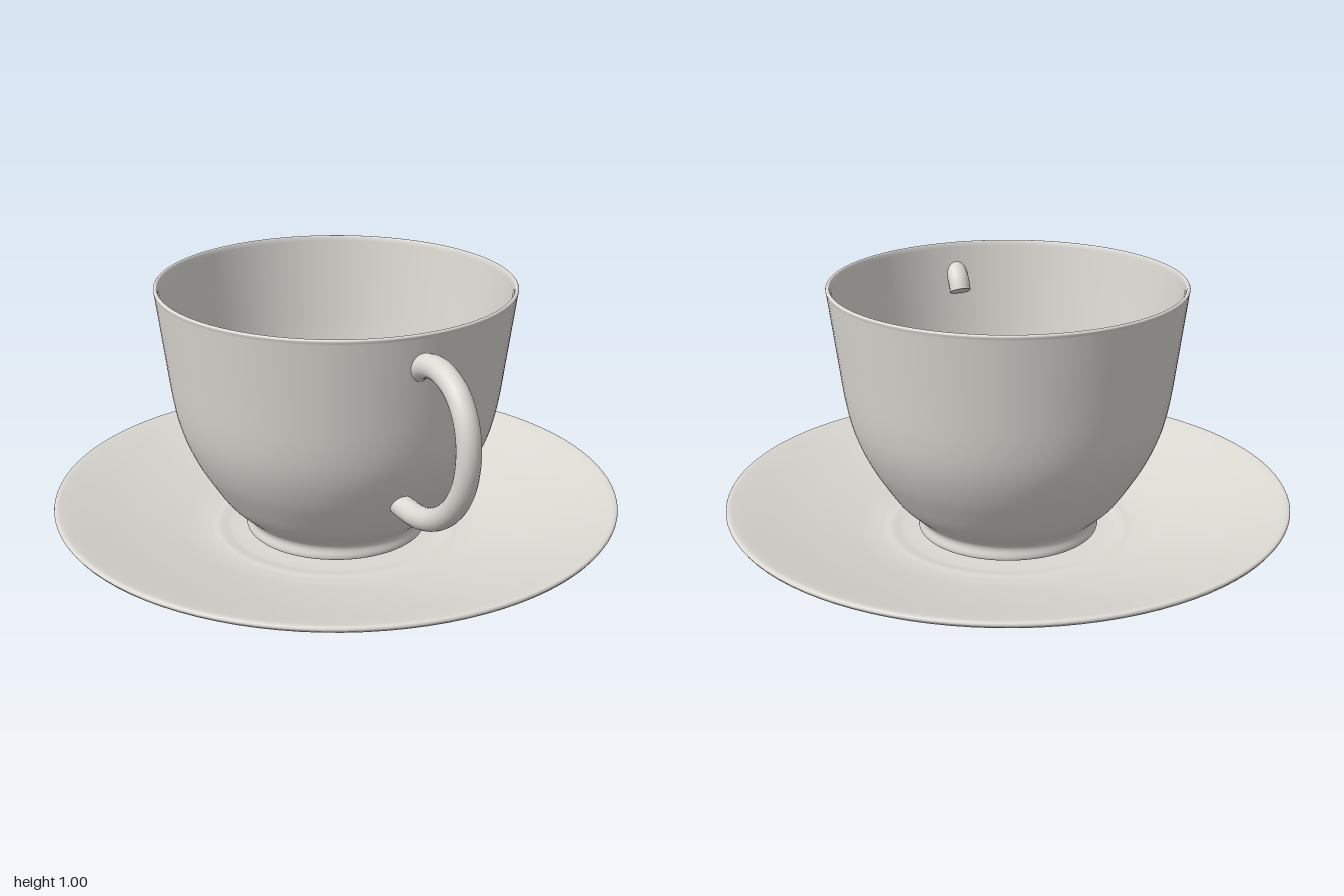
import * as THREE from 'three';

const porcelain = new THREE.MeshStandardMaterial({ color: 0xdcd9d3 });
porcelain.name = 'porcelain';

// Smooth run of profile points (radius, height)
function smooth(points, steps) {
  return new THREE.SplineCurve(points.map(([r, y]) => new THREE.Vector2(r, y))).getPoints(steps);
}

// Turns smooth runs, listed from the underside outward and back in over the top
function turned(name, runs) {
  const profile = runs.flatMap(run => smooth(run, run.length * 5));
  const clean = profile.filter((p, i) => i === 0 || p.distanceTo(profile[i - 1]) > 1e-5);
  clean.forEach(p => { p.x = Math.max(p.x, 0); });
  const mesh = new THREE.Mesh(new THREE.LatheGeometry(clean, 96), porcelain);
  mesh.name = name;
  return mesh;
}

// Bent rod standing in a radial plane, closed at both ends
function makeHandle() {
  const group = new THREE.Group();
  group.name = 'handle';
  const radius = 0.039;
  const path = new THREE.CatmullRomCurve3([
    [0.475, 0.368], [0.53, 0.368], [0.61, 0.376], [0.71, 0.412], [0.806, 0.482],
    [0.873, 0.58], [0.897, 0.7], [0.876, 0.8], [0.815, 0.875], [0.72, 0.911],
    [0.63, 0.9], [0.572, 0.865], [0.55, 0.825],
  ].map(([r, y]) => new THREE.Vector3(r, y, 0)));
  const rod = new THREE.Mesh(new THREE.TubeGeometry(path, 72, radius, 20, false), porcelain);
  rod.name = 'handleRod';
  group.add(rod);
  for (const t of [0, 1]) {
    const cap = new THREE.Mesh(new THREE.CircleGeometry(radius, 20), porcelain);
    const outward = path.getTangentAt(t).multiplyScalar(t ? 1 : -1);
    cap.position.copy(path.getPointAt(t));
    cap.quaternion.setFromUnitVectors(new THREE.Vector3(0, 0, 1), outward);
    cap.name = t ? 'upperHandleEnd' : 'lowerHandleEnd';
    group.add(cap);
  }
  group.rotation.y = -THREE.MathUtils.degToRad(35);
  return group;
}

export function createModel() {
  const model = new THREE.Group();
  model.name = 'cupAndSaucer';

  model.add(turned('saucer', [
    // recessed base and foot ring
    [[0, 0.035], [0.2, 0.035], [0.405, 0.035]],
    [[0.405, 0.035], [0.425, 0.028], [0.445, 0.01], [0.462, 0.001], [0.478, 0], [0.492, 0.006]],
    // flared underside
    [[0.492, 0.006], [0.505, 0.025], [0.525, 0.04], [0.57, 0.057], [0.78, 0.13], [0.97, 0.2], [0.994, 0.212]],
    // rim
    [[0.994, 0.212], [1, 0.22], [0.997, 0.228], [0.988, 0.23]],
    // upper face and well
    [[0.988, 0.23], [0.95, 0.221], [0.75, 0.163], [0.55, 0.114], [0.46, 0.1], [0.42, 0.099], [0.38, 0.092], [0.34, 0.09]],
    [[0.34, 0.09], [0.17, 0.09], [0, 0.09]],
  ]));

  model.add(turned('cup', [
    // foot
    [[0, 0.1], [0.15, 0.1], [0.3, 0.1]],
    [[0.3, 0.1], [0.318, 0.102], [0.322, 0.115], [0.317, 0.14], [0.325, 0.16], [0.352, 0.185]],
    // outer wall
    [[0.352, 0.185], [0.4, 0.232], [0.45, 0.305], [0.5, 0.39], [0.542, 0.49], [0.568, 0.6], [0.592, 0.78], [0.618, 0.985]],
    // lip
    [[0.618, 0.985], [0.62, 0.995], [0.615, 1], [0.608, 0.998], [0.604, 0.985]],
    // inner wall and floor
    [[0.604, 0.985], [0.578, 0.78], [0.553, 0.6], [0.526, 0.49], [0.482, 0.39], [0.43, 0.305], [0.375, 0.23], [0.31, 0.18], [0.22, 0.155], [0, 0.148]],
  ]));

  model.add(makeHandle());
  return model;
}
